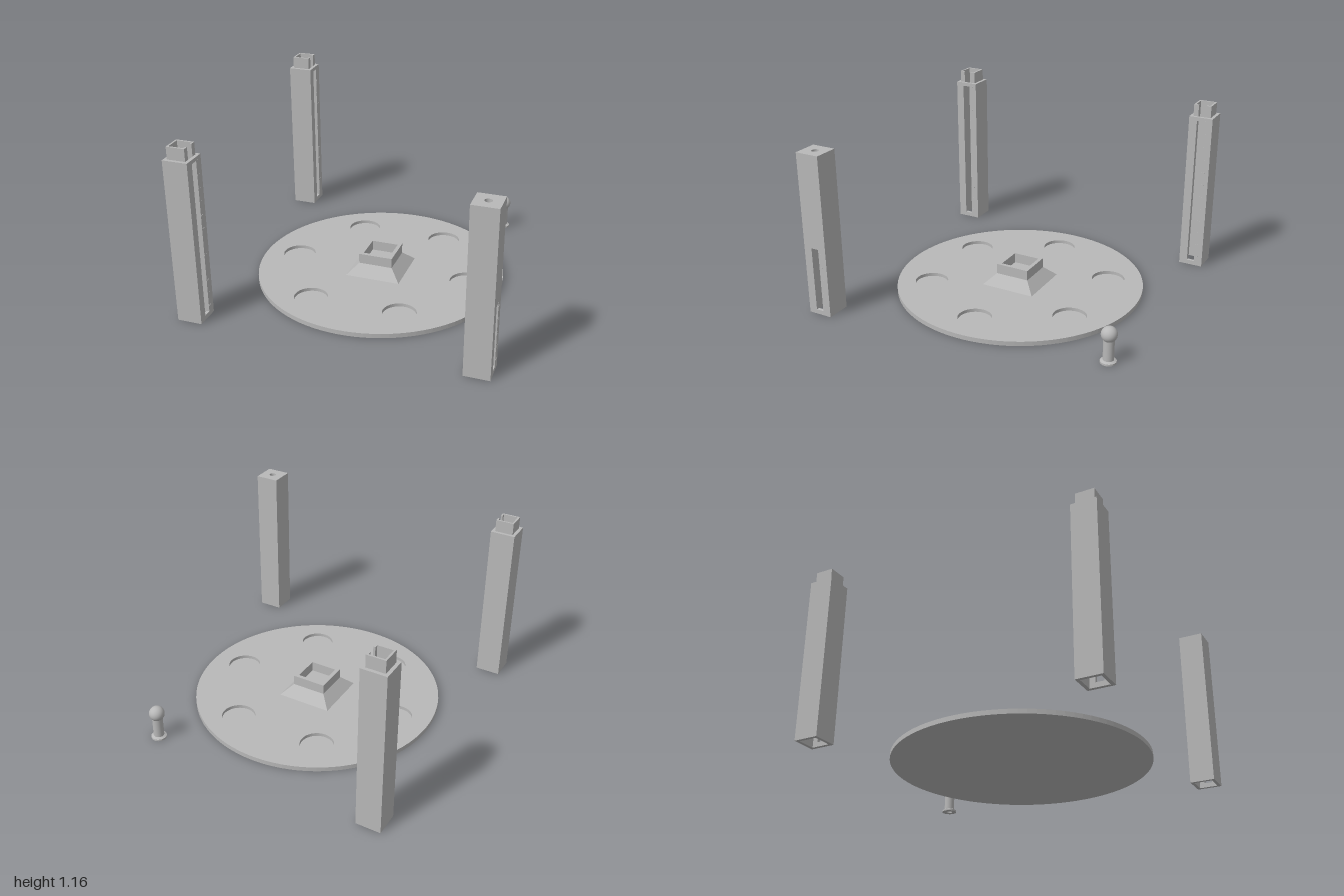
import * as THREE from 'three';

const grey = new THREE.MeshStandardMaterial({ color: 0xb8b8b8 });
grey.name = 'plain grey';

const P = 0.918;       // post centre offset
const OUT = 0.0815;    // post half width
const INN = 0.06;      // post cavity half width
const SLOT = 0.026;    // slot half width
const H = 1.085;       // post height

function add(parent, name, geometry, x = 0, y = 0, z = 0) {
  const mesh = new THREE.Mesh(geometry, grey);
  mesh.name = name;
  mesh.position.set(x, y, z);
  parent.add(mesh);
  return mesh;
}

const outline = (pts) => new THREE.Shape(pts.map(([x, y]) => new THREE.Vector2(x, y)));

// Plan outline raised upward from y = 0
function raise(shape, height, curveSegments = 24) {
  const g = new THREE.ExtrudeGeometry(shape, { depth: height, bevelEnabled: false, curveSegments });
  return g.rotateX(-Math.PI / 2);
}

function circleHole(x, y, r) {
  const p = new THREE.Path();
  p.absarc(x, y, r, 0, Math.PI * 2, true);
  return p;
}

// Square solid of revolution: profile of [half width, height]
function squareLathe(profile) {
  const pts = profile.map(([r, y]) => new THREE.Vector2(r * Math.SQRT2, y));
  const g = new THREE.LatheGeometry(pts, 4, Math.PI / 4).toNonIndexed();
  g.computeVertexNormals();
  return g;
}

// Hollow post with a slotted, graduated +x wall
function makePost(name, slotTop, step) {
  const post = new THREE.Group();
  post.name = name;
  const channel = outline([
    [-OUT, -OUT], [INN, -OUT], [INN, -INN], [-INN, -INN],
    [-INN, INN], [INN, INN], [INN, OUT], [-OUT, OUT],
  ]);
  add(post, 'postChannel', raise(channel, H));

  const face = outline([[-OUT, 0], [OUT, 0], [OUT, H], [-OUT, H]]);
  face.holes.push(new THREE.Path([
    [-SLOT, 0.03], [-SLOT, slotTop], [SLOT, slotTop], [SLOT, 0.03],
  ].map(([x, y]) => new THREE.Vector2(x, y))));
  const wall = new THREE.ExtrudeGeometry(face, { depth: OUT - INN, bevelEnabled: false });
  add(post, 'slottedWall', wall.rotateY(Math.PI / 2), INN);

  // Graduation ticks beside the slot
  const tick = new THREE.BoxGeometry(0.003, 0.005, 0.024);
  for (let y = 0.07; y < slotTop; y += step) add(post, 'tick', tick, OUT, y, -SLOT - 0.014);
  return post;
}

// Notched square collar that plugs into the next post
function addTenon(post) {
  const a = INN, b = 0.048;
  const collar = outline([
    [-a, -a], [a, -a], [a, -SLOT], [b, -SLOT], [b, -b], [-b, -b],
    [-b, b], [b, b], [b, SLOT], [a, SLOT], [a, a], [-a, a],
  ]);
  add(post, 'tenon', raise(collar, 0.125), 0, 1.04, 0);
}

export function createModel() {
  const model = new THREE.Group();
  model.name = 'towerParts';

  // Round base with six shallow wells
  const base = new THREE.Group();
  base.name = 'base';
  model.add(base);
  const floor = 0.008;
  add(base, 'baseFloor', new THREE.CylinderGeometry(0.83, 0.83, floor, 96), 0, floor / 2, 0);
  const plate = new THREE.Shape();
  plate.absarc(0, 0, 0.83, 0, Math.PI * 2, false);
  for (let i = 0; i < 6; i++) {
    const a = (i * Math.PI) / 3;
    plate.holes.push(circleHole(0.6 * Math.cos(a), 0.6 * Math.sin(a), 0.11));
  }
  add(base, 'basePlate', raise(plate, 0.03 - floor, 48), 0, floor, 0);

  // Central flared socket
  add(base, 'socket', squareLathe([
    [0.185, 0.03], [0.115, 0.1], [0.115, 0.168], [0.09, 0.168], [0.09, 0.1], [0, 0.1],
  ]));

  // Two stacking posts
  for (const side of [-1, 1]) {
    const post = makePost(side < 0 ? 'backPost' : 'frontPost', 1.06, 0.09);
    addTenon(post);
    post.position.set(-P, 0, side * P);
    model.add(post);
  }

  // Top post with a closed, drilled end
  const topPost = makePost('topPost', 0.46, 0.09);
  const lid = outline([[-INN, -INN], [INN, -INN], [INN, INN], [-INN, INN]]);
  lid.holes.push(circleHole(0, 0, 0.023));
  add(topPost, 'drilledLid', raise(lid, 0.03), 0, H - 0.03, 0);
  topPost.position.set(P - 0.004, 0, P - 0.004);
  model.add(topPost);

  // Ball-headed pin with a flanged, hollow foot
  const pin = new THREE.Group();
  pin.name = 'pin';
  const foot = [[0, 0.08], [0.02, 0.08], [0.02, 0], [0.05, 0], [0.05, 0.012], [0.034, 0.02], [0.034, 0.16]]
    .map(([r, y]) => new THREE.Vector2(r, y));
  // Split the profile so every edge stays crisp
  for (let i = 0; i < foot.length - 1; i++) {
    add(pin, 'pinShaft', new THREE.LatheGeometry([foot[i], foot[i + 1]], 32));
  }
  add(pin, 'pinBall', new THREE.SphereGeometry(0.05, 32, 20), 0, 0.187, 0);
  pin.position.set(0.64, 0, -0.935);
  model.add(pin);

  return model;
}
